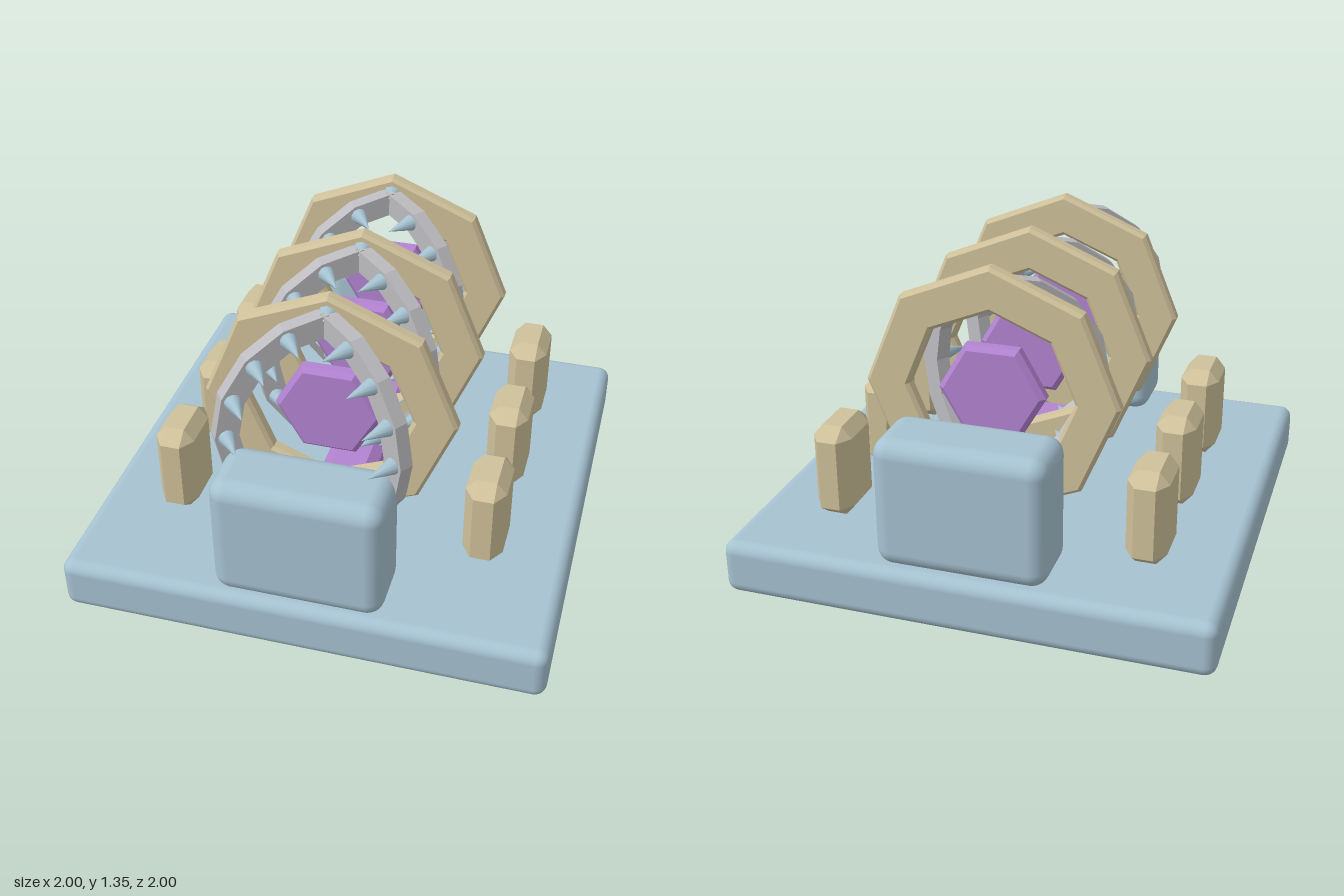
import * as THREE from 'three';
import { RoundedBoxGeometry } from 'three/addons/geometries/RoundedBoxGeometry.js';
import { ConvexGeometry } from 'three/addons/geometries/ConvexGeometry.js';

const mat = (name, color, flatShading = false) => {
  const m = new THREE.MeshStandardMaterial({ color, flatShading });
  m.name = name;
  return m;
};

function add(parent, name, geometry, material, x = 0, y = 0, z = 0) {
  const mesh = new THREE.Mesh(geometry, material);
  mesh.name = name;
  mesh.position.set(x, y, z);
  parent.add(mesh);
  return mesh;
}

// Box with every edge and corner cut by cx, cy, cz
function chamferBox(w, h, d, cx, cy, cz) {
  const pts = [];
  for (const i of [-1, 1]) for (const j of [-1, 1]) for (const k of [-1, 1]) {
    const x = w / 2, y = h / 2, z = d / 2;
    pts.push(
      new THREE.Vector3(i * x, j * (y - cy), k * (z - cz)),
      new THREE.Vector3(i * (x - cx), j * y, k * (z - cz)),
      new THREE.Vector3(i * (x - cx), j * (y - cy), k * z));
  }
  return new ConvexGeometry(pts);
}

// Regular polygon points, first corner on +x
const polygon = (sides, r) => Array.from({ length: sides }, (_, i) => {
  const a = i / sides * Math.PI * 2;
  return new THREE.Vector2(Math.cos(a) * r, Math.sin(a) * r);
});

// Extruded plate centred on z = 0, bevel included in the depth
function plate(shape, depth, bevel) {
  const g = new THREE.ExtrudeGeometry(shape, {
    depth: depth - 2 * bevel, bevelEnabled: bevel > 0,
    bevelThickness: bevel, bevelSize: bevel, bevelOffset: -bevel, bevelSegments: 1,
  });
  return g.translate(0, 0, bevel - depth / 2);
}

// Half-arch outline running from near the bottom up to the crown
function jawShape(inner, outer) {
  const steps = 7, start = -Math.PI * 0.375, step = Math.PI / 8;
  const pts = [];
  for (let i = 0; i <= steps; i++) {
    const a = start + i * step;
    pts.push(new THREE.Vector2(Math.cos(a) * outer, Math.sin(a) * outer));
  }
  for (let i = steps; i >= 0; i--) {
    const a = start + i * step;
    pts.push(new THREE.Vector2(Math.cos(a) * inner, Math.sin(a) * inner));
  }
  return new THREE.Shape(pts);
}

export function createModel() {
  const model = new THREE.Group();
  model.name = 'model';
  const blue = mat('paleBlue', 0xa6c2d1);
  const tan = mat('sand', 0xcfc19a, true);
  const purple = mat('purple', 0xb383d2, true);
  const grey = mat('grey', 0xbcbcc0, true);

  // Base slab, end blocks and the rail between them
  add(model, 'base', new RoundedBoxGeometry(2, 0.23, 2, 4, 0.05), blue, 0, 0.115, 0);
  for (const s of [1, -1])
    add(model, s > 0 ? 'frontBlock' : 'backBlock',
      new RoundedBoxGeometry(0.69, 0.535, 0.305, 4, 0.07), blue, 0, 0.503, s * 0.832);
  add(model, 'rail', chamferBox(0.23, 0.23, 1.48, 0.04, 0.037, 0.04), purple, 0, 0.235, 0);

  // Shared parts of each station
  const ringShape = new THREE.Shape(polygon(8, 0.52));
  ringShape.holes.push(new THREE.Path(polygon(8, 0.34).reverse()));
  const ringGeo = plate(ringShape, 0.066, 0.014);
  const hexGeo = plate(new THREE.Shape(polygon(6, 0.22)), 0.075, 0.02);
  const postGeo = chamferBox(0.166, 0.4, 0.296, 0.042, 0.05, 0.065);
  const jawGeo = plate(jawShape(0.37, 0.467), 0.06, 0);
  const spikeGeo = new THREE.ConeGeometry(0.036, 0.13, 10).rotateX(Math.PI / 2);
  const crownGeo = new THREE.ConeGeometry(0.045, 0.06, 10).rotateX(Math.PI / 2);

  for (const z of [0.45, -0.05, -0.55]) {
    const station = new THREE.Group();
    station.name = 'station';
    station.position.set(0, 0.832, z);
    model.add(station);

    add(station, 'octagonRing', ringGeo, tan);
    add(station, 'hexPlate', hexGeo, purple, 0, 0, 0.012);
    add(station, 'crownSpike', crownGeo, blue, 0, 0.445, 0.055);

    // Two spiked half-arches swung forward from the ring
    for (const s of [1, -1]) {
      const jaw = new THREE.Group();
      jaw.name = s > 0 ? 'leftJaw' : 'rightJaw';
      jaw.position.z = 0.04;
      const swing = THREE.MathUtils.degToRad(35);
      jaw.rotation.y = s > 0 ? -swing : Math.PI + swing;
      station.add(jaw);
      add(jaw, 'jawBand', jawGeo, grey);
      for (let i = -3; i <= 3; i++) {
        const a = i * Math.PI / 8;
        const spike = add(jaw, 'spike', spikeGeo, blue,
          Math.cos(a) * 0.42, Math.sin(a) * 0.42, s * 0.09);
        if (s < 0) spike.rotation.y = Math.PI;
      }

      // Side posts
      add(model, s > 0 ? 'leftPost' : 'rightPost', postGeo, tan, s * 0.652, 0.437, z - 0.012);
    }
  }
  return model;
}
